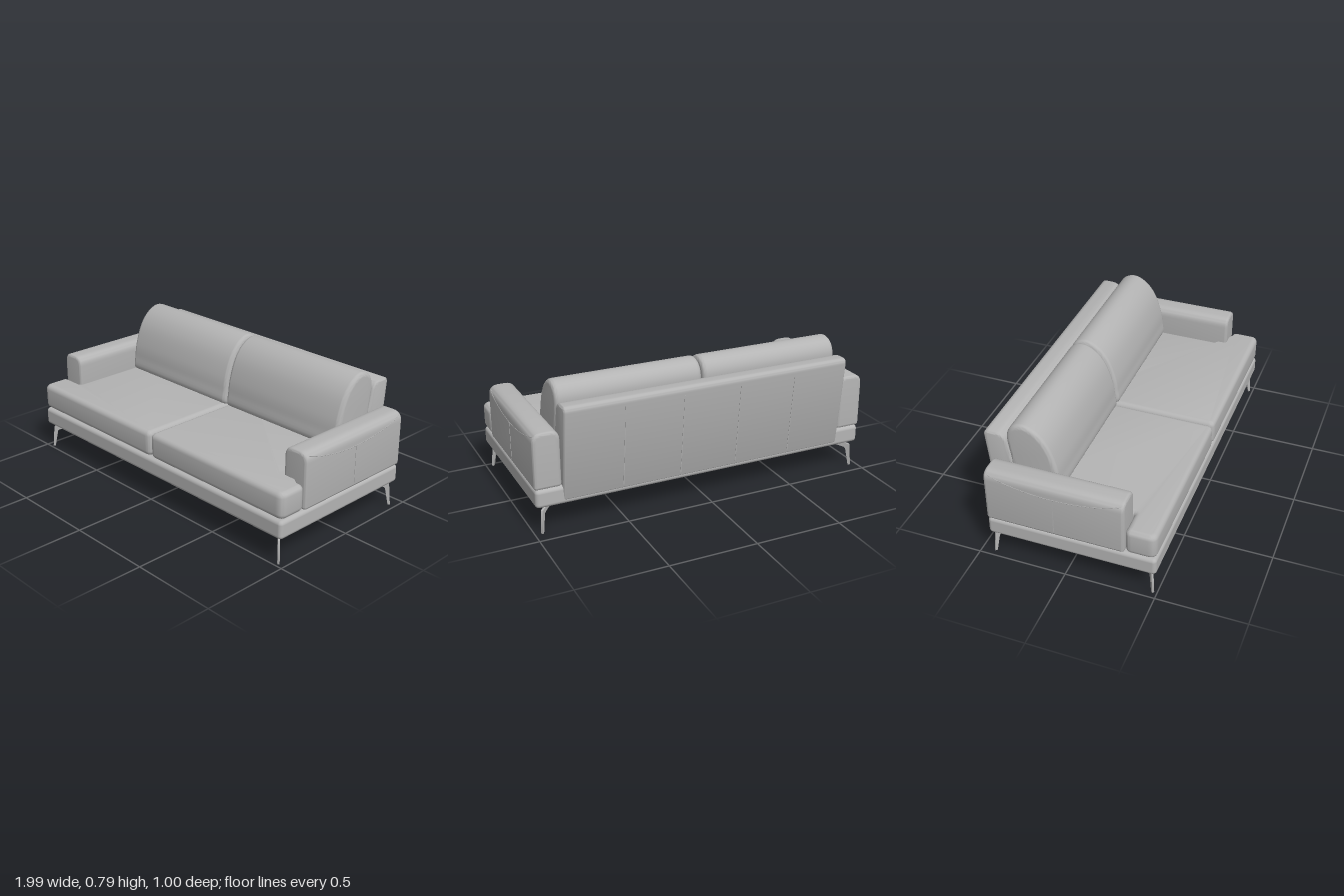
import * as THREE from 'three';
import { toCreasedNormals } from 'three/addons/utils/BufferGeometryUtils.js';
import { RoundedBoxGeometry } from 'three/addons/geometries/RoundedBoxGeometry.js';

const fabric = new THREE.MeshStandardMaterial({ color: 0xb4b4b4 });
fabric.name = 'grey upholstery';

// Polygon with softened corners; each point is [a, b, cornerRadius]
function softPolygon(points) {
  const shape = new THREE.Shape();
  const n = points.length;
  points.forEach(([a, b, r], i) => {
    const corner = new THREE.Vector2(a, b);
    const toward = (p) => {
      const d = new THREE.Vector2(p[0] - a, p[1] - b);
      return d.setLength(Math.min(r, d.length() * 0.49)).add(corner);
    };
    const p0 = toward(points[(i + n - 1) % n]);
    const p1 = toward(points[(i + 1) % n]);
    if (i === 0) shape.moveTo(p0.x, p0.y);
    else shape.lineTo(p0.x, p0.y);
    shape.quadraticCurveTo(a, b, p1.x, p1.y);
  });
  shape.closePath();
  return shape;
}

// Pillow-edged extrusion, centred on its depth, whose outline is the widest section
function padded(shape, depth, bevel) {
  const g = new THREE.ExtrudeGeometry(shape, {
    depth: depth - 2 * bevel, curveSegments: 8, bevelEnabled: true,
    bevelSize: bevel, bevelOffset: -bevel, bevelThickness: bevel, bevelSegments: 5,
  });
  g.translate(0, 0, -(depth - 2 * bevel) / 2);
  return toCreasedNormals(g, 0.7);
}

export function createModel() {
  const model = new THREE.Group();
  model.name = 'sofa';
  const add = (name, geometry, x = 0, y = 0, z = 0) => {
    const mesh = new THREE.Mesh(geometry, fabric);
    mesh.name = name;
    mesh.position.set(x, y, z);
    model.add(mesh);
    return mesh;
  };

  // Base plinth
  add('base', new RoundedBoxGeometry(1.98, 0.105, 0.94, 4, 0.022), 0, 0.2025, 0.03);

  // Back rest, leaning backward
  const backProfile = softPolygon([
    [-0.33, 0.17, 0.02], [-0.33, 0.5, 0.1], [-0.382, 0.71, 0.05],
    [-0.502, 0.712, 0.035], [-0.443, 0.17, 0.02],
  ]);
  add('backRest', padded(backProfile, 1.68, 0.015).rotateY(-Math.PI / 2));

  // Stitched seams down the rear face
  const lean = Math.atan2(0.059, 0.542);
  for (const x of [-0.504, -0.168, 0.168, 0.504]) {
    const seam = add('backSeam', new THREE.BoxGeometry(0.004, 0.47, 0.004), x, 0.43, -0.4713);
    seam.rotation.x = -lean;
  }

  // Side section of a back cushion
  const cushionProfile = new THREE.Shape([
    [-0.085, 0.41], [-0.087, 0.49], [-0.1, 0.57], [-0.145, 0.69], [-0.205, 0.76],
    [-0.275, 0.79], [-0.338, 0.77], [-0.37, 0.715], [-0.355, 0.57], [-0.33, 0.4], [-0.2, 0.385],
  ].reduce((curve, [z, y]) => {
    curve.points.push(new THREE.Vector3(z, y, 0));
    return curve;
  }, new THREE.CatmullRomCurve3([], true)).getPoints(56).slice(0, -1)
    .map((p) => new THREE.Vector2(p.x, p.y)));

  for (const s of [-1, 1]) {
    // Seat cushion: wide in front of the arm, narrow beside it
    const seat = softPolygon([
      [s * 0.003, -0.5, 0.035], [s * 0.993, -0.5, 0.045], [s * 0.993, -0.333, 0.035],
      [s * 0.845, -0.333, 0.01], [s * 0.845, 0.33, 0.035], [s * 0.003, 0.33, 0.035],
    ]);
    add('seatCushion', padded(seat, 0.15, 0.03).rotateX(-Math.PI / 2), 0, 0.335, 0);

    add('backCushion', padded(cushionProfile, 0.835, 0.024).rotateY(-Math.PI / 2), s * 0.4215, 0, 0);

    // Arm with rounded top
    const arm = softPolygon([
      [-0.075, 0.256, 0.02], [0.075, 0.256, 0.02], [0.075, 0.572, 0.055], [-0.075, 0.572, 0.055],
    ]);
    add('arm', padded(arm, 0.77, 0.017), s * 0.919, 0, -0.055);

    // Curved seam across the arm's outer panel, following the rounded shoulder
    const seamPoints = [];
    for (let i = 0; i <= 16; i++) {
      const t = (i / 8 - 1) * 0.95;
      const y = 0.495 + 0.065 * t * t;
      const k = 1 - Math.sqrt(1 - Math.max(0, y - 0.517) / 0.055);
      seamPoints.push(new THREE.Vector3(s * (0.994 - 0.055 * k * k), y, -0.055 + t * 0.385));
    }
    const seamCurve = new THREE.CatmullRomCurve3(seamPoints);
    add('armSeam', new THREE.TubeGeometry(seamCurve, 32, 0.002, 6));
    add('armStitch', new THREE.BoxGeometry(0.004, 0.215, 0.004), s * 0.994, 0.386, -0.055);
  }

  // Slim bent blade legs, turned diagonally outward
  const legProfile = softPolygon([
    [0, 0.152, 0.002], [0.07, 0.152, 0.002], [0.074, 0.138, 0.004], [0.112, 0.132, 0.008],
    [0.125, 0, 0.001], [0.112, 0, 0.001], [0.09, 0.108, 0.012], [0.045, 0.118, 0.01], [0, 0.128, 0.004],
  ]);
  const legGeometry = toCreasedNormals(new THREE.ExtrudeGeometry(legProfile, {
    depth: 0.012, bevelEnabled: false, curveSegments: 4,
  }).translate(0, 0, -0.006), 0.6);
  for (const sx of [-1, 1]) {
    for (const sz of [-1, 1]) {
      const z = sz > 0 ? 0.392 : -0.34;
      const angle = Math.atan2(-sz, sx);
      add(sz > 0 ? 'frontLeg' : 'rearLeg', legGeometry, sx * 0.875, 0, z).rotation.y = angle;
      const mount = new THREE.BoxGeometry(0.05, 0.012, 0.035);
      add('legMount', mount, sx * 0.9, 0.146, z + sz * 0.025).rotation.y = angle;
    }
  }
  return model;
}
